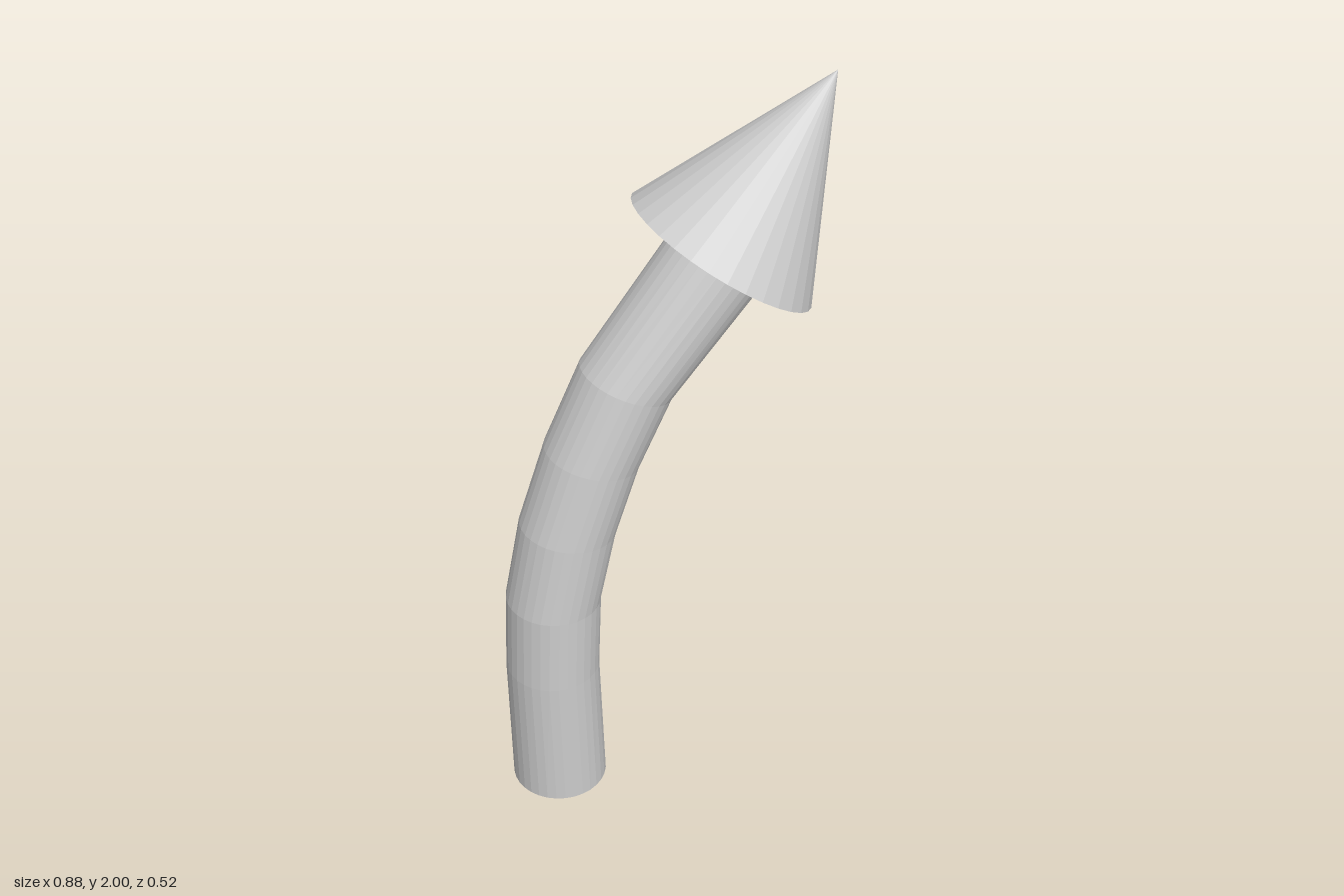
import * as THREE from 'three';

const material = new THREE.MeshStandardMaterial({ color: 0xcccccc, flatShading: true });

// Outer and inner edge of each shaft ring: [outer x, outer y, inner x, inner y]
const RINGS = [
  [-0.437, 0, -0.18, 0],
  [-0.442, 0.4, -0.192, 0.4],
  [-0.433, 0.625, -0.183, 0.62],
  [-0.387, 0.86, -0.137, 0.83],
  [-0.313, 1.08, -0.072, 1.025],
  [-0.212, 1.3, 0.015, 1.21],
  [0.044, 1.642, 0.26, 1.498],
];
const SHAFT_RADIUS = 0.13;

// A straight unit cylinder whose rings are moved onto the bend
function bentShaft() {
  const last = RINGS.length - 1;
  const geometry = new THREE.CylinderGeometry(1, 1, 1, 32, last);
  const p = geometry.attributes.position;
  for (let i = 0; i < p.count; i++) {
    const [ox, oy, ix, iy] = RINGS[Math.round((p.getY(i) + 0.5) * last)];
    const t = (p.getX(i) + 1) / 2;
    p.setXYZ(i, ox + (ix - ox) * t, oy + (iy - oy) * t, p.getZ(i) * SHAFT_RADIUS);
  }
  geometry.computeVertexNormals();
  return geometry;
}

export function createModel() {
  const group = new THREE.Group();
  group.name = 'bentArrow';

  const shaft = new THREE.Mesh(bentShaft(), material);
  shaft.name = 'shaft';
  group.add(shaft);

  // Cone head, tilted along the end of the shaft
  const base = new THREE.Vector3(0.152, 1.57, 0);
  const tip = new THREE.Vector3(0.437, 2, 0);
  const axis = tip.clone().sub(base);
  const head = new THREE.Mesh(new THREE.ConeGeometry(0.258, axis.length(), 32), material);
  head.name = 'arrowHead';
  head.position.copy(base).add(tip).multiplyScalar(0.5);
  head.quaternion.setFromUnitVectors(new THREE.Vector3(0, 1, 0), axis.normalize());
  group.add(head);

  return group;
}
